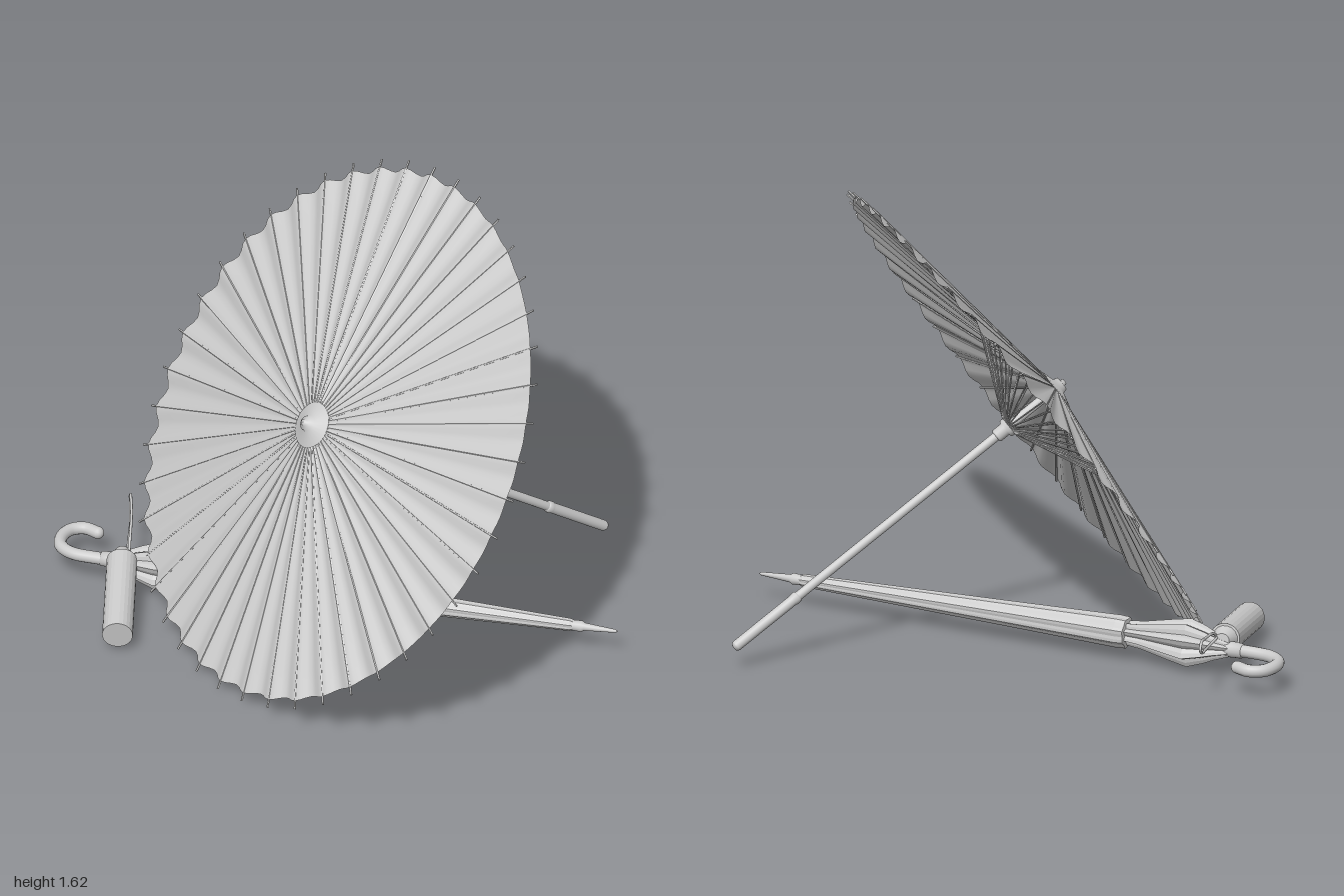
import * as THREE from 'three';
import { mergeVertices, mergeGeometries } from 'three/addons/utils/BufferGeometryUtils.js';

const V = (x, y, z) => new THREE.Vector3(x, y, z);
const Y = V(0, 1, 0);
const material = new THREE.MeshStandardMaterial({ color: 0xcccccc, side: THREE.DoubleSide });
const faceted = new THREE.MeshStandardMaterial({ color: 0xcccccc, side: THREE.DoubleSide, flatShading: true });

function add(parent, name, geometry, mat = material) {
  const mesh = new THREE.Mesh(geometry, mat);
  mesh.name = name;
  parent.add(mesh);
  return mesh;
}

// Straight round bar between two points
function bar(a, b, rA, rB = rA, sides = 16) {
  const d = b.clone().sub(a);
  const geometry = new THREE.CylinderGeometry(rB, rA, d.length(), sides);
  geometry.applyQuaternion(new THREE.Quaternion().setFromUnitVectors(Y, d.clone().normalize()));
  return geometry.translate(...a.clone().add(b).multiplyScalar(0.5).toArray());
}

const lathe = (points, sides = 24) =>
  new THREE.LatheGeometry(points.map(([r, y]) => new THREE.Vector2(r, y)), sides);

// Lathe whose vertices are moved by a rule(radius, angle, y) -> [radius, y]
function foldedLathe(points, sides, rule) {
  let geometry = lathe(points, sides);
  const p = geometry.attributes.position;
  for (let i = 0; i < p.count; i++) {
    const angle = Math.atan2(p.getX(i), p.getZ(i));
    const [r, y] = rule(Math.hypot(p.getX(i), p.getZ(i)), angle, p.getY(i));
    p.setXYZ(i, r * Math.sin(angle), y, r * Math.cos(angle));
  }
  geometry.deleteAttribute('uv');
  geometry.deleteAttribute('normal');
  geometry = mergeVertices(geometry, 1e-5);
  geometry.computeVertexNormals();
  return geometry;
}

// Open parasol, built around its stick with the crown at the origin
function createParasol() {
  const group = new THREE.Group();
  group.name = 'parasol';
  const ribs = 44, rim = 0.95;
  const height = r => -0.02 - 0.13 * r / rim;

  // Pleated canopy: ridges on the ribs, sagging and scalloped between them
  const profile = [];
  for (let i = 10; i >= 0; i--) profile.push([rim * i / 10, height(rim * i / 10)]);
  add(group, 'canopy', foldedLathe(profile, ribs * 6, (r, angle, y) => {
    const sag = (1 - Math.cos(ribs * angle)) / 2;
    return [r * (1 - 0.016 * sag * (r / rim) ** 4), y - 0.017 * sag * r / rim];
  }));

  // Ribs under the canopy and stretchers from the runner
  const ribParts = [], stretcherParts = [];
  for (let i = 0; i < ribs; i++) {
    const a = i / ribs * Math.PI * 2;
    const at = (r, y) => V(r * Math.sin(a), y, r * Math.cos(a));
    ribParts.push(bar(at(0.05, height(0.05) - 0.002), at(0.978, height(0.978) - 0.002), 0.004, 0.004, 5));
    stretcherParts.push(bar(at(0.025, -0.235), at(0.37, height(0.37) - 0.005), 0.003, 0.003, 5));
  }
  add(group, 'ribs', mergeGeometries(ribParts), faceted);
  add(group, 'stretchers', mergeGeometries(stretcherParts), faceted);

  add(group, 'crownCap', lathe([[0, -0.04], [0.078, -0.035], [0.082, -0.027], [0.03, -0.012],
    [0.025, 0.004], [0.012, 0.006], [0.01, 0.016], [0, 0.016]]));
  add(group, 'stick', bar(V(0, -1.18, 0), V(0, -0.01, 0), 0.016));
  add(group, 'runner', lathe([[0.016, -0.29], [0.024, -0.285], [0.024, -0.25], [0.034, -0.245],
    [0.034, -0.222], [0.016, -0.215]]));
  add(group, 'grip', lathe([[0, -1.453], [0.014, -1.45], [0.019, -1.44], [0.019, -1.19],
    [0.021, -1.185], [0.021, -1.17], [0.016, -1.165]]));

  // Lean the stick back to the ground
  const axis = V(-0.296, 0.564, 0.771).normalize();
  const side = V(1, 0, 0).addScaledVector(axis, -axis.x).normalize();
  group.quaternion.setFromRotationMatrix(
    new THREE.Matrix4().makeBasis(side, axis, side.clone().cross(axis)));
  group.rotateY(0.045);
  group.position.set(0.003, 0.902, 0.31);
  return group;
}

// Furled umbrella lying down, with its tip at the local origin
function createUmbrella() {
  const group = new THREE.Group();
  group.name = 'closedUmbrella';
  const body = new THREE.Group();
  body.name = 'furledBody';
  group.add(body);
  add(body, 'ferrule', lathe([[0.018, -0.17], [0.02, -0.13], [0.014, -0.12], [0.006, -0.01], [0, 0]], 16));
  const pleat = (n, depth) => (r, angle, y) => [r * (1 + depth * Math.cos(n * angle)), y];
  add(body, 'wrappedCanopy', foldedLathe([[0.02, -1.41], [0.052, -1.405], [0.054, -1.37], [0.042, -0.95],
    [0.03, -0.5], [0.021, -0.17], [0.012, -0.14]], 32, pleat(8, 0.06)), faceted);
  add(body, 'looseHem', foldedLathe([[0.022, -1.8], [0.04, -1.74], [0.055, -1.7], [0.073, -1.64],
    [0.06, -1.56], [0.042, -1.46], [0.036, -1.39]], 32, pleat(8, 0.16)), faceted);
  add(body, 'collar', lathe([[0, -1.84], [0.026, -1.84], [0.028, -1.8], [0.022, -1.76]], 16));
  body.quaternion.setFromUnitVectors(Y, V(0.914, 0, -0.406).normalize());
  body.position.set(0.9, 0.104, -0.29);

  // Crook handle lying flat
  const crook = new THREE.CatmullRomCurve3([[-0.7, 0.422], [-0.8, 0.467], [-0.88, 0.494], [-0.94, 0.482],
    [-0.974, 0.435], [-0.977, 0.38], [-0.945, 0.343], [-0.892, 0.338]].map(([x, z]) => V(x, 0.104, z)));
  add(group, 'crookHandle', new THREE.TubeGeometry(crook, 48, 0.022, 14));
  const cap = add(group, 'handleEnd', new THREE.SphereGeometry(0.022, 14, 10));
  cap.position.set(-0.892, 0.104, 0.338);
  return group;
}

// Tubular storage case with a wrist strap
function createCase() {
  const group = new THREE.Group();
  group.name = 'storageCase';
  const top = V(-0.695, 0.128, 0.452), end = V(-0.468, 0.07, 0.762);
  const along = end.clone().sub(top).normalize();
  add(group, 'caseTube', bar(top, end, 0.053, 0.053, 24), faceted);
  add(group, 'caseNeck', bar(top.clone().addScaledVector(along, -0.045), top, 0.026, 0.045, 16));
  const strap = new THREE.CatmullRomCurve3([V(-0.69, 0.14, 0.42), V(-0.71, 0.165, 0.39), V(-0.79, 0.195, 0.28),
    V(-0.845, 0.21, 0.215), V(-0.866, 0.196, 0.192), V(-0.845, 0.172, 0.217), V(-0.78, 0.155, 0.3),
    V(-0.71, 0.145, 0.4)], true);
  add(group, 'wristStrap', new THREE.TubeGeometry(strap, 60, 0.005, 8, true));
  return group;
}

export function createModel() {
  const model = new THREE.Group();
  model.name = 'parasolAndUmbrella';
  model.add(createParasol(), createUmbrella(), createCase());
  return model;
}
